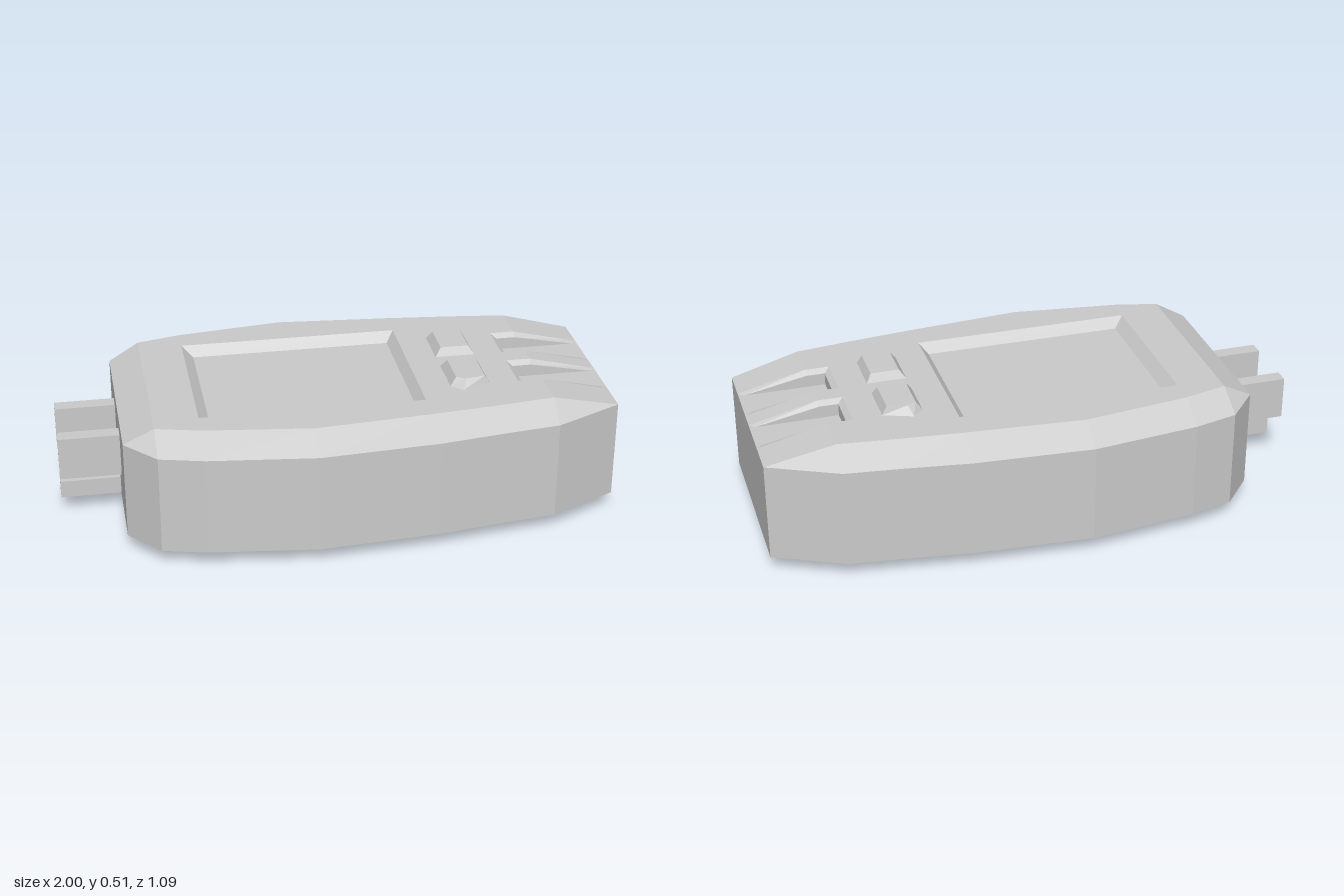
import * as THREE from 'three';
import { mergeGeometries } from 'three/addons/utils/BufferGeometryUtils.js';

const TOP = 0.485, RIM = 0.425, LOW = 0.06;
const material = new THREE.MeshStandardMaterial({ color: 0xcccccc, flatShading: true });

// height of the upper face: flat, then sloping down to the nose
const topY = x => x <= 0.75 ? TOP : TOP - (TOP - RIM) * (x - 0.75) / 0.25;

function finish(positions) {
  const g = new THREE.BufferGeometry();
  g.setAttribute('position', new THREE.Float32BufferAttribute(positions, 3));
  g.computeVertexNormals();
  return g;
}

// stitch rows of [x, y, z] points together, skipping collapsed triangles
function loft(rows, closed = true) {
  const out = [];
  const same = (p, q) => p.every((v, k) => Math.abs(v - q[k]) < 1e-6);
  const tri = (a, b, c) => {
    if (!same(a, b) && !same(b, c) && !same(a, c)) out.push(...a, ...b, ...c);
  };
  for (let r = 0; r + 1 < rows.length; r++) {
    const a = rows[r], b = rows[r + 1], n = a.length;
    for (let i = 0; i < (closed ? n : n - 1); i++) {
      const j = (i + 1) % n;
      tri(a[i], a[j], b[j]);
      tri(a[i], b[j], b[i]);
    }
  }
  return finish(out);
}

// upward-facing panel from [x, z] points, with height from a rule
function panel(points, height, holes = []) {
  const toV = pts => pts.map(([x, z]) => new THREE.Vector2(x, -z));
  const shape = new THREE.Shape(toV(points));
  holes.forEach(h => shape.holes.push(new THREE.Path(toV(h))));
  const g = new THREE.ShapeGeometry(shape).rotateX(-Math.PI / 2).toNonIndexed();
  const p = g.attributes.position;
  for (let i = 0; i < p.count; i++) p.setY(i, height(p.getX(i)));
  return finish(Array.from(p.array));
}

const lift = (points, y) => points.map(([x, z]) => [x, y, z]);
const flip = points => points.map(([x, z]) => [x, -z]).reverse();
const rect = (x0, x1, z0, z1) => [[x0, z1], [x1, z1], [x1, z0], [x0, z0]];

function createModel() {
  const group = new THREE.Group();
  const add = (name, ...geos) => {
    const mesh = new THREE.Mesh(mergeGeometries(geos), material);
    mesh.name = name;
    group.add(mesh);
  };

  // body: x, half width at the wall, half width at the flat faces
  const stations = [
    [-0.78, 0.335, 0.335], [-0.67, 0.46, 0.35], [-0.51, 0.5, 0.39], [-0.12, 0.545, 0.44],
    [0.31, 0.515, 0.405], [0.55, 0.48, 0.38], [0.75, 0.455, 0.355], [1, 0.335, 0.335]];
  const last = stations.length - 1;
  const wall = stations.map(s => [s[0], s[1]]);
  const inset = stations.map(s => [s[0], s[2]]);
  const ring = (half, yMid, yEnd) => [...half, ...flip(half)].map(([x, z]) =>
    [x, x === stations[0][0] || x === 1 ? yEnd : yMid, z]);
  const shell = loft([ring(inset, 0, LOW), ring(wall, LOW, LOW),
    ring(wall, RIM, RIM), ring(inset, TOP, RIM)]);
  const under = ring(inset, 0, LOW);
  const frontHalf = under.slice(0, last + 1), backHalf = under.slice(last + 1).reverse();
  const underside = loft([backHalf, frontHalf], false);
  const tail = loft([[[-0.78, RIM, 0.335], [-0.67, TOP, 0.35]],
    [[-0.78, RIM, -0.335], [-0.67, TOP, -0.35]]], false);

  // upper face, cut for the screen recess and the two nose grooves
  const screenRim = rect(-0.51, 0.3, -0.295, 0.295);
  const mid = inset.slice(1, last);
  const notch = [[0.75, 0.205], [0.66, 0.205], [0.66, 0.035], [0.75, 0.035]];
  const deck = panel([...mid, ...notch, ...flip(notch), ...flip(mid)], topY, [screenRim]);
  const sideSlope = [[0.75, 0.355], [1, 0.335], [1, 0.205], [0.75, 0.205]];
  const slopes = [sideSlope, flip(sideSlope), rect(0.75, 1, -0.035, 0.035)]
    .map(p => panel(p, topY));
  add('body', shell, underside, tail, deck, ...slopes);

  // recessed screen
  const screenFloor = rect(-0.47, 0.27, -0.26, 0.26);
  add('screen', loft([lift(screenRim, TOP), lift(screenFloor, 0.45)]),
    panel(screenFloor, () => 0.45));

  // grooves with bevelled rims running out at the nose
  for (const [name, z0, z1] of [['leftGroove', -0.205, -0.035], ['rightGroove', 0.035, 0.205]]) {
    const b = 0.02;
    const rim = [[1, z0], [0.98, z0], [0.75, z0], [0.66, z0],
      [0.66, z1], [0.75, z1], [0.98, z1], [1, z1]];
    const inner = [[1, z0], [0.98, z0 + b], [0.75, z0 + b], [0.68, z0 + b],
      [0.68, z1 - b], [0.75, z1 - b], [0.98, z1 - b], [1, z1]];
    add(name, loft([
      rim.map(([x, z]) => [x, topY(x), z]),
      inner.map(([x, z]) => [x, Math.max(RIM, topY(x) - 0.015), z]),
      lift(inner, RIM)], false), panel(inner, () => RIM));
  }

  // raised five-sided buttons
  const base = [[0.41, 0.205], [0.45, 0.245], [0.555, 0.205], [0.555, 0.037], [0.41, 0.037]];
  const cap = [[0.432, 0.195], [0.465, 0.215], [0.537, 0.2], [0.537, 0.054], [0.432, 0.054]];
  for (const [name, f] of [['frontButton', p => p], ['backButton', flip]]) {
    add(name, loft([lift(f(base), TOP), lift(f(cap), 0.515)]), panel(f(cap), () => 0.515));
  }

  // plug prongs: two tall blades and a low central pin
  for (const [name, z, w, y0, y1] of [['backBlade', -0.125, 0.055, 0.2, 0.36],
    ['frontBlade', 0.113, 0.055, 0.2, 0.36], ['lowerPin', 0, 0.07, 0.065, 0.13]]) {
    add(name, new THREE.BoxGeometry(0.22, y1 - y0, w).translate(-0.89, (y0 + y1) / 2, z));
  }
  return group;
}

export { createModel };
